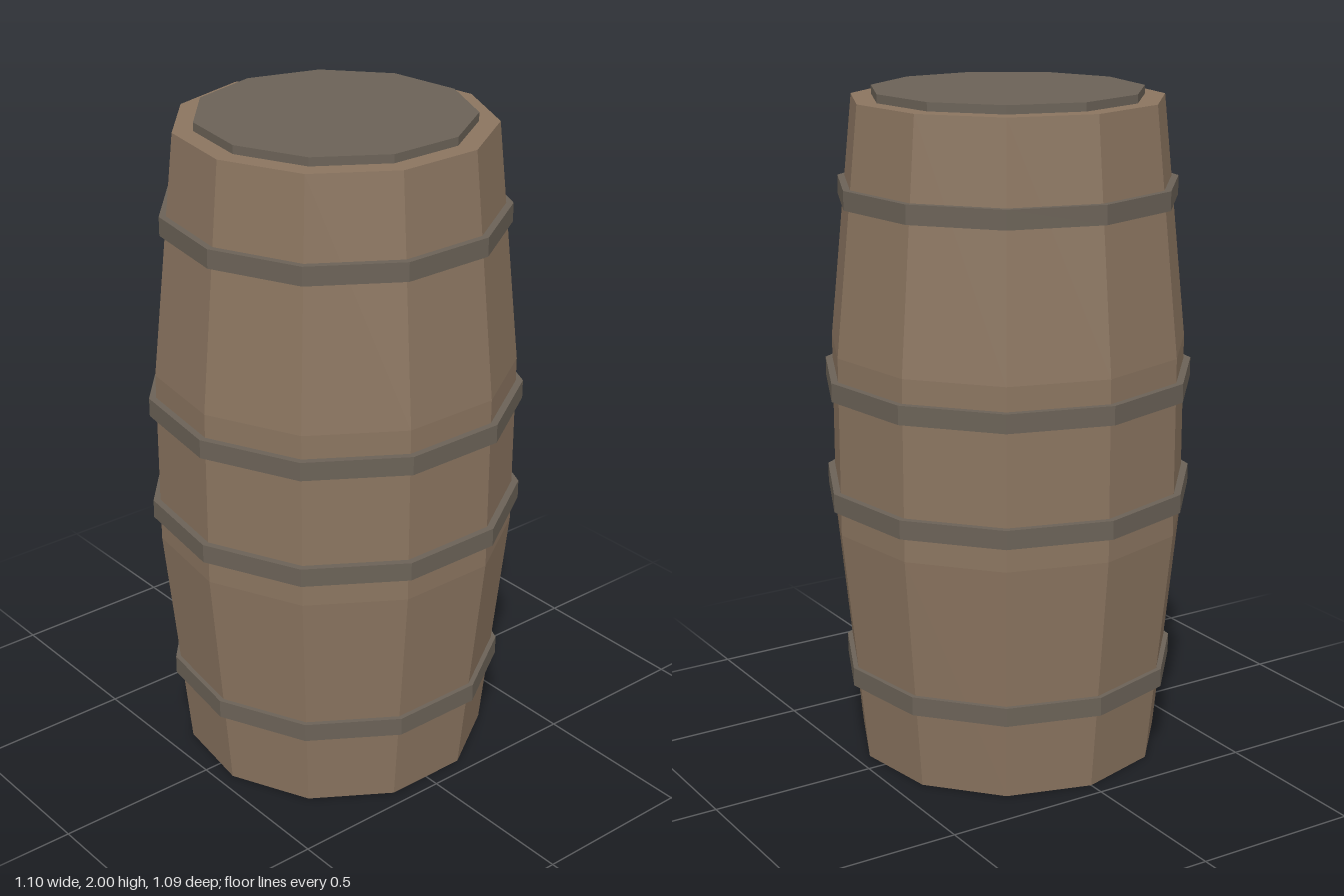
import * as THREE from 'three';

const SIDES = 11;
const wood = new THREE.MeshStandardMaterial({ name: 'wood', color: 0x8b7560, flatShading: true });
const metal = new THREE.MeshStandardMaterial({ name: 'dull metal', color: 0x6b6257, flatShading: true });

// Faceted solid turned from a [radius, height] profile, with one corner facing the back
function turned(name, profile, material) {
  const points = profile.map(([r, y]) => new THREE.Vector2(r, y));
  const mesh = new THREE.Mesh(new THREE.LatheGeometry(points, SIDES, Math.PI), material);
  mesh.name = name;
  return mesh;
}

export function createModel() {
  const barrel = new THREE.Group();
  barrel.name = 'barrel';

  // Bulging body, closed at both ends
  barrel.add(turned('body', [
    [0, 0], [0.46, 0], [0.533, 0.72], [0.533, 1.255], [0.46, 1.975], [0, 1.975],
  ], wood));

  // Raised lid
  barrel.add(turned('lid', [[0.4, 1.975], [0.4, 2], [0, 2]], metal));

  // Hoops: outer radius, inner radius, centre height
  const hoops = [
    [0.505, 0.47, 0.268], [0.554, 0.52, 0.822],
    [0.554, 0.52, 1.156], [0.505, 0.47, 1.708],
  ];
  for (const [outer, inner, y] of hoops) {
    const low = y - 0.028, high = y + 0.028;
    barrel.add(turned('hoop', [[inner, low], [outer, low], [outer, high], [inner, high]], metal));
  }

  // Centre the odd-sided outline front to back
  barrel.children.forEach((part) => { part.position.z = 0.011; });
  return barrel;
}
